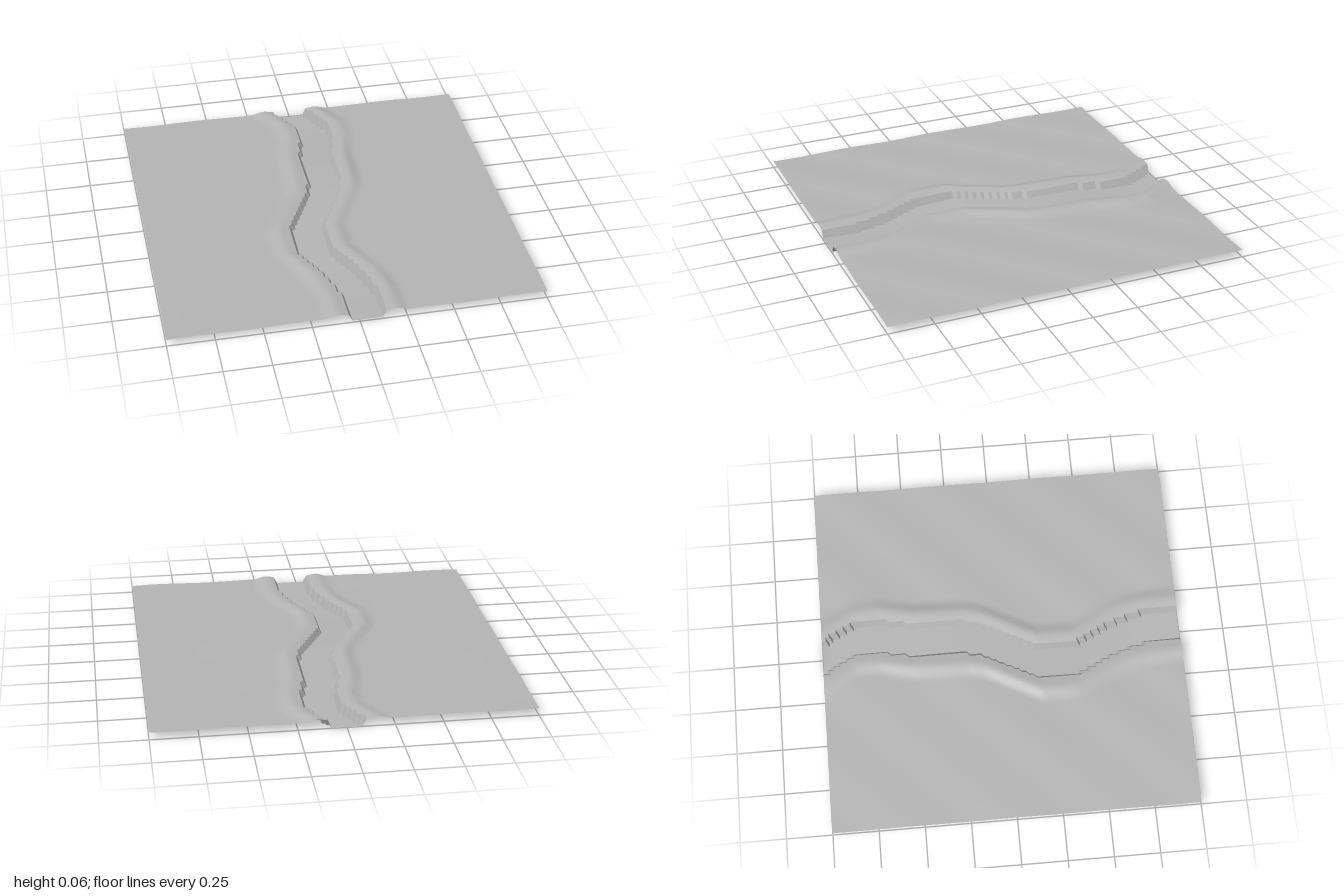
import * as THREE from 'three';
import { toCreasedNormals } from 'three/addons/utils/BufferGeometryUtils.js';

const CELLS = 100, STEP = 2 / CELLS;
const BED = 0.18; // width between the two wall lines

// Course of the left wall of the channel: [z, x]
const course = [
  [-1, -0.095], [-0.94, -0.06], [-0.82, 0.008], [-0.68, 0.012], [-0.58, -0.012], [-0.48, -0.03],
  [-0.2, -0.04], [-0.1, -0.062], [0, -0.115], [0.2, -0.217], [0.4, -0.215], [0.5, -0.17],
  [0.6, -0.115], [0.7, -0.08], [0.8, -0.06], [1, -0.053],
];

function wallX(z) {
  let i = 0;
  while (i < course.length - 2 && z > course[i + 1][0]) i++;
  const [z0, x0] = course[i], [z1, x1] = course[i + 1];
  return THREE.MathUtils.lerp(x0, x1, (z - z0) / (z1 - z0));
}

// Height of the land: rippled plain, raised banks and a sunken bed
function height(x, z) {
  const left = wallX(z);
  const swell = Math.cos((z + 0.2) * Math.PI / 0.8);
  const first = Math.round((left - 0.01) / STEP);
  const column = Math.round(x / STEP);
  if (column > first && column < first + 10) return 0.011 + 0.011 * swell;

  const plain = 0.04 + 0.0025 * Math.sin(11 * (x + z)) + 0.001 * Math.sin(5 * x - 2 * z);
  const d = Math.max(0, Math.abs(x - left - BED / 2) - BED / 2);
  const crest = 0.059 + 0.004 * swell;
  if (d < 0.065) return THREE.MathUtils.lerp(crest - 0.009, crest, THREE.MathUtils.smoothstep(d, 0, 0.065));
  return THREE.MathUtils.lerp(crest, plain, THREE.MathUtils.smoothstep(d, 0.065, 0.14));
}

export function createModel() {
  const group = new THREE.Group();
  group.name = 'riverTerrain';
  const stone = new THREE.MeshStandardMaterial({ color: 0xb4b4b4, side: THREE.DoubleSide });
  stone.name = 'plain grey';

  // One sheet of land, with its vertices raised by the height rule
  const sheet = new THREE.PlaneGeometry(2, 2, CELLS, CELLS).rotateX(-Math.PI / 2);
  const p = sheet.attributes.position;
  for (let i = 0; i < p.count; i++) p.setY(i, height(p.getX(i), p.getZ(i)));

  const land = new THREE.Mesh(toCreasedNormals(sheet, 0.5), stone);
  land.name = 'landWithChannel';
  group.add(land);
  return group;
}
